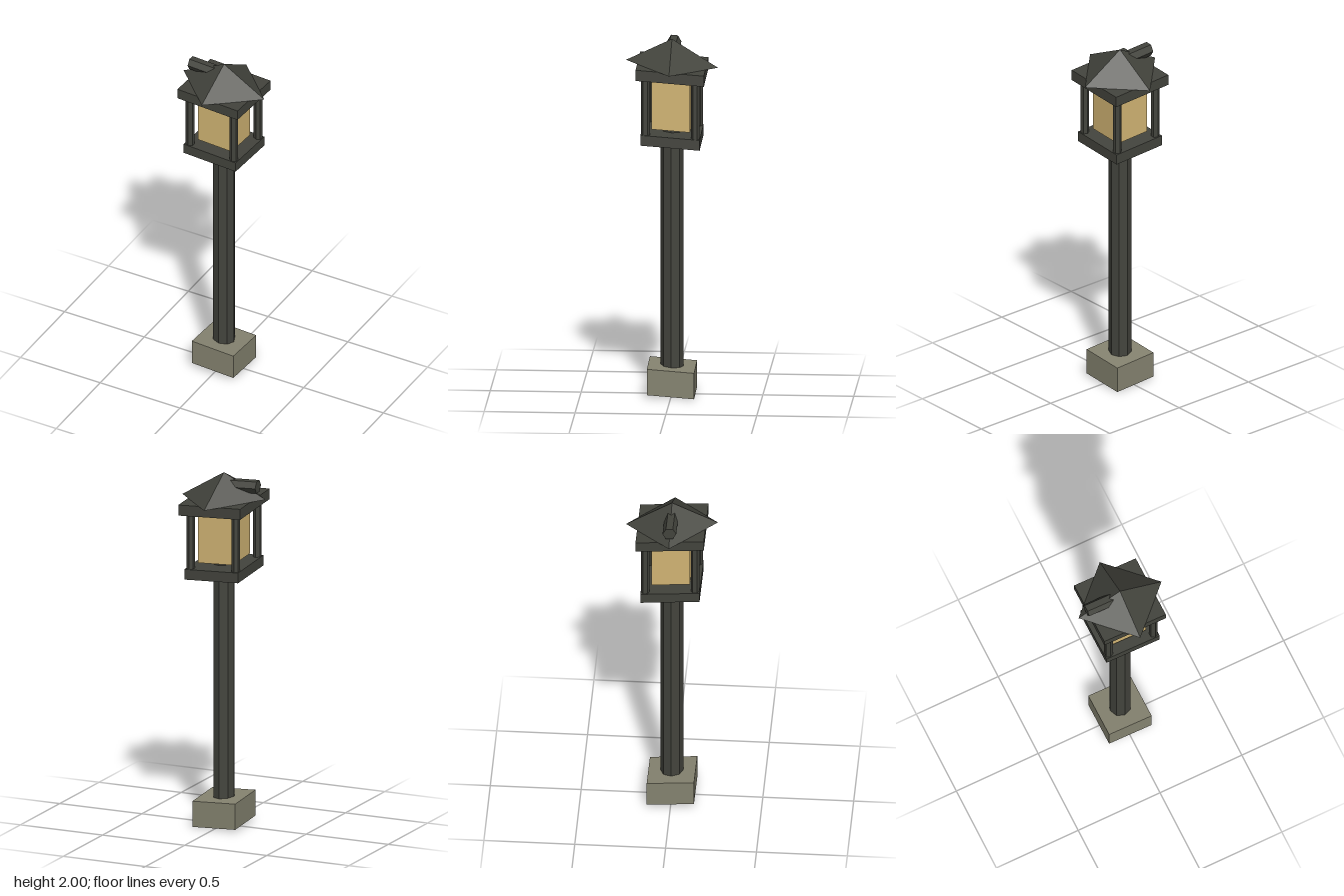
import * as THREE from 'three';

export function createModel() {
  const group = new THREE.Group();
  const material = (name, color) => {
    const m = new THREE.MeshStandardMaterial({ color, flatShading: true });
    m.name = name;
    return m;
  };
  const iron = material('dark iron', 0x43443d);
  const stone = material('stone', 0x858370);
  const glass = material('amber glass', 0xd2b574);

  // The whole lamp leans by a vertical shear: uprights stay plumb, level faces slope
  const shear = new THREE.Matrix4().set(
    1, 0, 0, 0,
    -0.05, 1, 0.073, 0,
    0, 0, 1, 0,
    0, 0, 0, 1
  );

  const add = (name, geometry, mat, x, y, z) => {
    geometry.translate(x, y, z);
    geometry.applyMatrix4(shear);
    const mesh = new THREE.Mesh(geometry, mat);
    mesh.name = name;
    group.add(mesh);
  };
  // Square block and upright cylinder given by their bottom and top heights
  const block = (name, mat, half, y0, y1) =>
    add(name, new THREE.BoxGeometry(half * 2, y1 - y0, half * 2), mat, 0, (y0 + y1) / 2, 0);
  const upright = (name, r, sides, y0, y1, x = 0, z = 0) =>
    add(name, new THREE.CylinderGeometry(r, r, y1 - y0, sides), iron, x, (y0 + y1) / 2, z);

  // Foot and post; the post runs on up through the lantern
  block('base', stone, 0.13, 0.016, 0.162);
  upright('post', 0.062, 8, 0.15, 1.81);

  // Lantern
  block('lanternFloor', iron, 0.163, 1.43, 1.488);
  block('lanternGlass', glass, 0.106, 1.511, 1.786);
  for (const x of [-1, 1]) {
    for (const z of [-1, 1]) {
      upright('cornerPost', 0.024, 6, 1.48, 1.81, x * 0.137, z * 0.137);
    }
  }
  block('lanternCap', iron, 0.188, 1.8, 1.86);

  // Pyramid roof, turned a quarter against the square cap
  add('roof', new THREE.ConeGeometry(0.253, 0.14, 4), iron, 0, 1.93, 0);

  // Six-sided stub sticking out of the roof
  const stub = new THREE.CylinderGeometry(0.038, 0.038, 0.207, 6);
  stub.rotateZ(Math.PI / 2);
  add('roofStub', stub, iron, -0.1035, 1.93, 0);

  return group;
}
